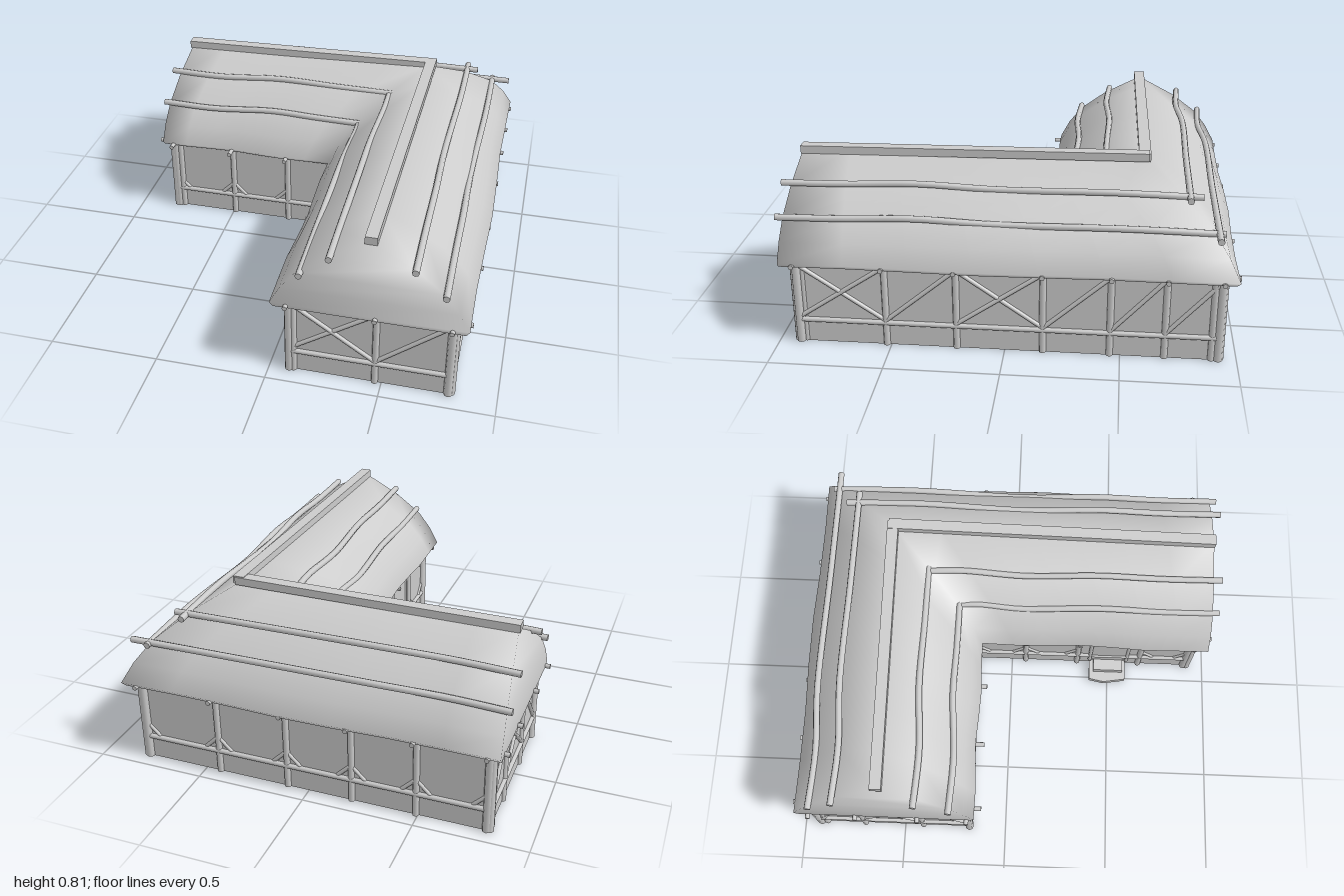
import * as THREE from 'three';

const clay = new THREE.MeshStandardMaterial({ color: 0xcccccc, side: THREE.DoubleSide });
clay.name = 'plain grey';

const RX = 0.44, RZ = -0.565; // ridge lines of the two wings
// half-open thatch profile: offset from the ridge, height
const HALF = [[0.405, 0.383], [0.42, 0.402], [0.375, 0.485], [0.31, 0.57], [0.18, 0.67]];
const PROFILE = [
  ...HALF.map(([s, y]) => [-s, y]), [0, 0.77], ...HALF.slice().reverse(),
];

function add(group, geometry, name) {
  const mesh = new THREE.Mesh(geometry, clay);
  mesh.name = name;
  group.add(mesh);
  return mesh;
}

// straight round timber between two points
function timber(group, a, b, r, name, sides = 8) {
  const p = new THREE.Vector3(...a), q = new THREE.Vector3(...b);
  const mesh = add(group, new THREE.CylinderGeometry(r, r, p.distanceTo(q), sides), name);
  mesh.position.copy(p).add(q).multiplyScalar(0.5);
  mesh.quaternion.setFromUnitVectors(new THREE.Vector3(0, 1, 0), q.sub(p).normalize());
}

// slightly crooked pole with closed ends
function pole(group, points, r, name) {
  const pts = points.map(p => new THREE.Vector3(...p));
  add(group, new THREE.TubeGeometry(new THREE.CatmullRomCurve3(pts), 24, r, 8), name);
  for (const [end, next] of [[pts[0], pts[1]], [pts.at(-1), pts.at(-2)]]) {
    const cap = add(group, new THREE.CircleGeometry(r, 8), name + 'End');
    cap.position.copy(end);
    cap.lookAt(end.clone().multiplyScalar(2).sub(next));
  }
}

// thatch: the profile swept along the L with a mitred corner and closed gables
function thatchGeometry() {
  const N = 7, n = PROFILE.length, mid = (n - 1) / 2, pos = [], idx = [];
  const wave = (t, s) => 0.009 * Math.sin(t * 9 + (s > 0 ? 1.2 : 0)) * Math.abs(s) / 0.42;
  for (let i = 0; i <= 2 * N; i++) {
    for (const [s, y] of PROFILE) {
      const h = ((y - 0.4) / 0.37) ** 2;
      const cx = RX - s, cz = RZ + s;
      const k = i <= N ? i / N : i / N - 1;
      const corner = i <= N ? k : 1 - k;
      const lift = 0.018 * corner * Math.max(0, y - 0.4) / 0.37;
      const w = i === N ? 0 : wave(i / N, s) * Math.sin(Math.PI * k);
      if (i <= N) pos.push(THREE.MathUtils.lerp(-0.855 + 0.05 * h, cx, k), y + lift, cz + w);
      else pos.push(cx + w, y + lift, THREE.MathUtils.lerp(cz, 0.965 - 0.025 * h, k));
    }
  }
  for (let i = 0; i < 2 * N; i++) {
    for (let j = 0; j < n - 1; j++) {
      const a = i * n + j, b = a + n;
      idx.push(a, a + 1, b, a + 1, b + 1, b);
    }
  }
  for (const [base, flip] of [[0, false], [2 * N * n, true]]) {
    for (let j = 0; j < mid; j++) {
      const l = base + j, r = base + n - 1 - j;
      const tris = [[l, r, l + 1]];
      if (j + 1 < mid) tris.push([r, r - 1, l + 1]);
      for (const t of tris) idx.push(...(flip ? t.reverse() : t));
    }
  }
  const g = new THREE.BufferGeometry();
  g.setAttribute('position', new THREE.Float32BufferAttribute(pos, 3));
  g.setIndex(idx);
  g.computeVertexNormals();
  return g;
}

// one timbered wall: along is 'x' or 'z', at is the wall plane, out its outward sign
function frame(group, along, at, out, posts, braces, name) {
  const wall = new THREE.Group();
  wall.name = name;
  const P = (t, y, d = 0) => along === 'x' ? [t, y, at + out * d] : [at + out * d, y, t];
  const first = posts[0], last = posts.at(-1);
  timber(wall, P(first, 0.11, 0.004), P(last, 0.11, 0.004), 0.012, 'lowerRail');
  timber(wall, P(first, 0.395), P(last, 0.395), 0.013, 'wallPlate');
  posts.forEach((t, i) => {
    const end = i === 0 || i === posts.length - 1;
    timber(wall, P(t, 0), P(t, 0.42), end ? 0.02 : 0.015, 'post');
    timber(wall, P(t, 0.392, -0.03), P(t, 0.392, 0.068), 0.011, 'beamEnd');
    const kind = braces[i];
    if (end && i > 0) return;
    const u = posts[i + 1];
    if (kind === 'X' || kind === '/') timber(wall, P(t, 0.12, 0.002), P(u, 0.38, 0.002), 0.01, 'brace');
    if (kind === 'X' || kind === '\\') timber(wall, P(t, 0.38, 0.004), P(u, 0.12, 0.004), 0.01, 'brace');
    if (kind === 'v') { // short foot braces on both posts of the bay
      timber(wall, P(t, 0.18), P(t + 0.07, 0.11), 0.009, 'footBrace');
      timber(wall, P(u, 0.18), P(u - 0.07, 0.11), 0.009, 'footBrace');
    }
  });
  group.add(wall);
}

export function createModel() {
  const model = new THREE.Group();
  model.name = 'longhouse';

  add(model, thatchGeometry(), 'thatchRoof');

  // wall panels following the L-shaped outline
  const outline = [[-0.81, -0.925], [0.8, -0.925], [0.8, 0.915], [0.09, 0.915], [0.09, -0.18], [-0.81, -0.18]];
  outline.forEach(([x, z], i) => {
    const [u, w] = outline[(i + 1) % outline.length];
    const panel = add(model, new THREE.PlaneGeometry(Math.hypot(u - x, w - z), 0.43), 'wallPanel');
    panel.position.set((x + u) / 2, 0.215, (z + w) / 2);
    panel.rotation.y = Math.atan2(w - z, x - u);
    if (i % 2) panel.rotation.y = x > 0.5 ? Math.PI / 2 : -Math.PI / 2;
    else if (z === w) panel.rotation.y = z < -0.5 || z > 0.5 ? (z < 0 ? Math.PI : 0) : 0;
  });

  // timber framing
  frame(model, 'x', 0.915, 1, [0.09, 0.47, 0.79], ['X', '/'], 'frontFrame');
  frame(model, 'z', 0.8, 1, [-0.92, -0.69, -0.455, -0.165, 0.21, 0.52, 0.905],
    ['\\', '\\', '\\', 'X', '\\', 'X'], 'leftFrame');
  frame(model, 'x', -0.925, -1, [-0.8, -0.49, -0.2, 0.1, 0.43, 0.79], ['v', 'v', 'v', 'v', 'v'], 'backFrame');
  frame(model, 'z', -0.81, -1, [-0.92, -0.7, -0.41, -0.18], ['/', 'X', '\\'], 'rightFrame');
  frame(model, 'x', -0.18, 1, [-0.8, -0.49, -0.2, 0.09], ['v', 'v', ''], 'courtyardBackFrame');
  frame(model, 'z', 0.09, -1, [-0.18, 0.07, 0.34, 0.66, 0.9], ['v', 'v', '', 'v'], 'courtyardSideFrame');

  // second post of each outer corner
  for (const [x, z] of [[-0.775, -0.18], [0.79, 0.88], [0.11, 0.915], [-0.81, -0.89], [0.8, -0.89]])
    timber(model, [x, 0, z], [x, 0.42, z], 0.015, 'cornerPost');

  // door and stone steps
  const door = add(model, new THREE.BoxGeometry(0.008, 0.31, 0.18), 'door');
  door.position.set(0.086, 0.215, 0.5);
  for (const z of [0.405, 0.595]) timber(model, [0.085, 0.05, z], [0.085, 0.38, z], 0.01, 'doorPost');
  const stone = new THREE.Shape([[0.09, 0.405], [-0.015, 0.405], [-0.03, 0.48], [-0.012, 0.59], [0.09, 0.59]]
    .map(([x, z]) => new THREE.Vector2(x, -z)));
  const step = add(model, new THREE.ExtrudeGeometry(stone, { depth: 0.028, bevelEnabled: false }), 'lowerStep');
  step.rotation.x = -Math.PI / 2;
  const upper = add(model, new THREE.BoxGeometry(0.065, 0.03, 0.15), 'upperStep');
  upper.position.set(0.057, 0.043, 0.5);

  // crooked poles lying on the thatch of the back wing: z, y, far end
  for (const [z, y, end] of [[-0.89, 0.572, 0.84], [-0.77, 0.678, 0.68], [-0.405, 0.683, 0.31], [-0.255, 0.577, 0.16]])
    pole(model, [[-0.87, y, z], [-0.6, y + 0.003, z + 0.012], [-0.3, y + 0.015, z - 0.008],
      [(end - 0.3) / 2, y + 0.01, z - 0.004], [end, y + 0.006, z - 0.003]], 0.015, 'roofPole');
  // and of the front wing: x, y, far end
  for (const [x, y, end] of [[0.145, 0.58, -0.25], [0.27, 0.685, -0.4], [0.62, 0.682, -0.83], [0.748, 0.575, -0.92]])
    pole(model, [[x + 0.008, y, 0.99], [x + 0.004, y + 0.002, 0.7], [x + 0.004, y + 0.014, 0.4],
      [x - 0.004, y - 0.002, 0.05], [x + 0.008, y + 0.008, (end - 0.1) / 2], [x + 0.004, y, end]], 0.015, 'roofPole');

  // ridge beams rising gently towards the corner
  const ridge = (a, b, name) => {
    const p = new THREE.Vector3(...a), q = new THREE.Vector3(...b);
    const beam = add(model, new THREE.BoxGeometry(0.052, 0.036, p.distanceTo(q)), name);
    beam.position.copy(p).add(q).multiplyScalar(0.5);
    beam.lookAt(q);
  };
  ridge([-0.815, 0.777, -0.562], [0.47, 0.792, -0.58], 'backRidgeBeam');
  ridge([0.44, 0.775, 0.945], [0.455, 0.795, -0.6], 'frontRidgeBeam');

  return model;
}
